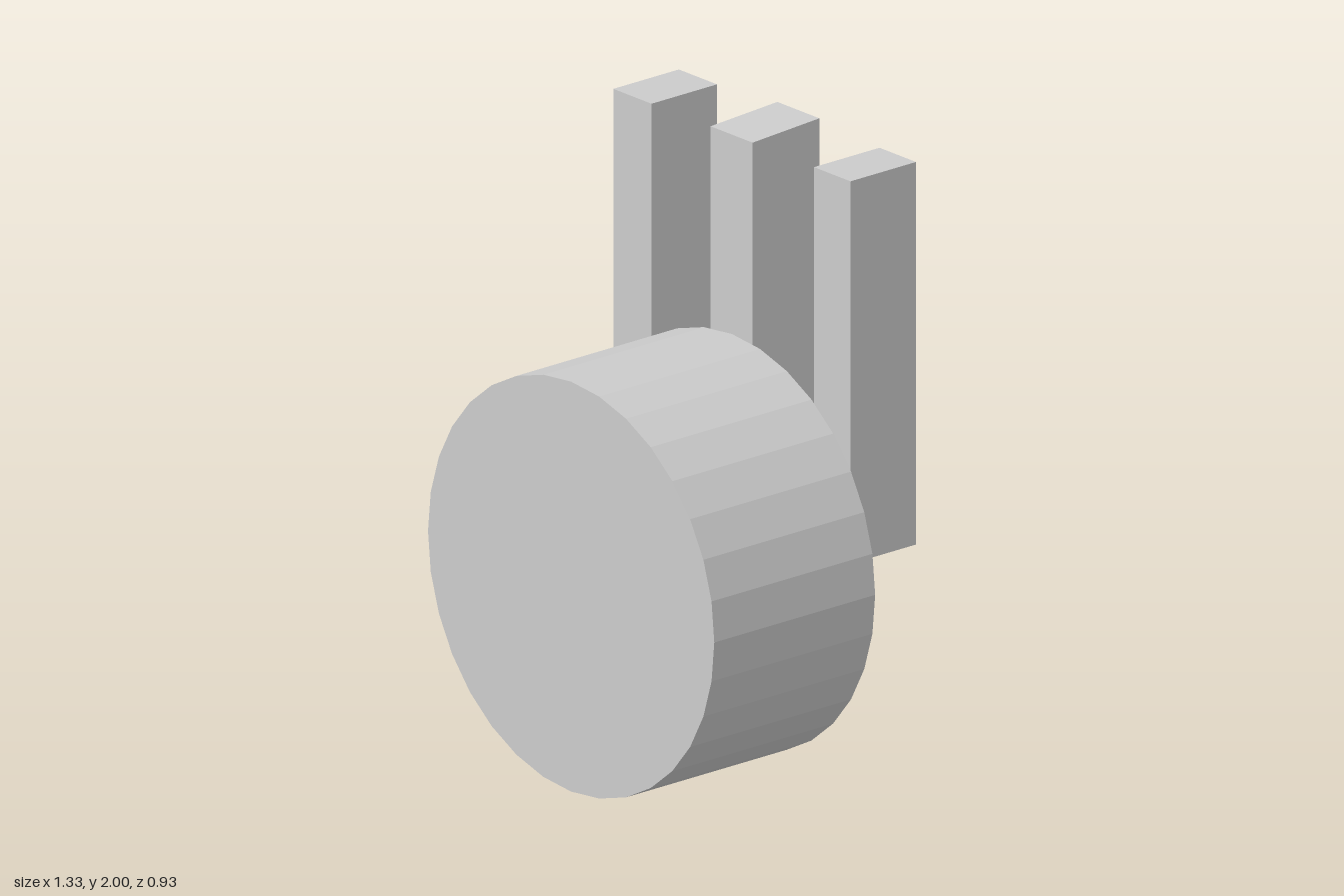
import * as THREE from 'three';

export function createModel() {
  const model = new THREE.Group();
  const mat = new THREE.MeshStandardMaterial({ color: 0xcccccc, flatShading: true });
  const BACK = -0.462, FACE = -0.19, FLOOR = -0.05, AXLE_Y = 0.715;

  const add = (name, geometry) => {
    const mesh = new THREE.Mesh(geometry, mat);
    mesh.name = name;
    model.add(mesh);
    return mesh;
  };
  // box given by its limits
  const box = (name, x0, x1, y0, y1, z0, z1) => {
    const g = new THREE.BoxGeometry(x1 - x0, y1 - y0, z1 - z0);
    g.translate((x0 + x1) / 2, (y0 + y1) / 2, (z0 + z1) / 2);
    return add(name, g);
  };
  // cylinder lying along z
  const rod = (name, r, y, z0, z1) => {
    const g = new THREE.CylinderGeometry(r, r, z1 - z0, 32);
    g.rotateX(Math.PI / 2).translate(0, y, (z0 + z1) / 2);
    return add(name, g);
  };

  // wheel: closed front, recessed back with a narrow rim
  const profile = [[0, FLOOR], [0.6, FLOOR], [0.6, FACE], [0.667, FACE], [0.667, 0.463], [0, 0.463]]
    .map(([r, z]) => new THREE.Vector2(r, z));
  add('wheel', new THREE.LatheGeometry(profile, 32).rotateX(Math.PI / 2).translate(0, 0.669, 0));

  // hub step and axle in the recess
  rod('hub', 0.28, AXLE_Y, FLOOR - 0.01, -0.165);
  rod('axle', 0.21, AXLE_Y, BACK, FLOOR);

  // bracket: thin web either side of the axle, with an upright at each end
  box('leftWeb', 0.19, 0.38, 0.735, 0.78, BACK, -0.196);
  box('rightWeb', -0.385, -0.19, 0.735, 0.78, BACK, -0.196);
  box('leftUpright', 0.375, 0.545, 0.735, 1.98, BACK, -0.196);
  box('rightUpright', -0.56, -0.382, 0.735, 1.98, BACK, -0.196);

  // centre upright, its top rising slightly to the back
  const centre = box('centreUpright', -0.1, 0.096, 0.85, 1.985, BACK + 0.001, FACE);
  const p = centre.geometry.attributes.position;
  for (let i = 0; i < p.count; i++) {
    if (p.getY(i) > 1.5 && p.getZ(i) < -0.3) p.setY(i, 2);
  }
  return model;
}
